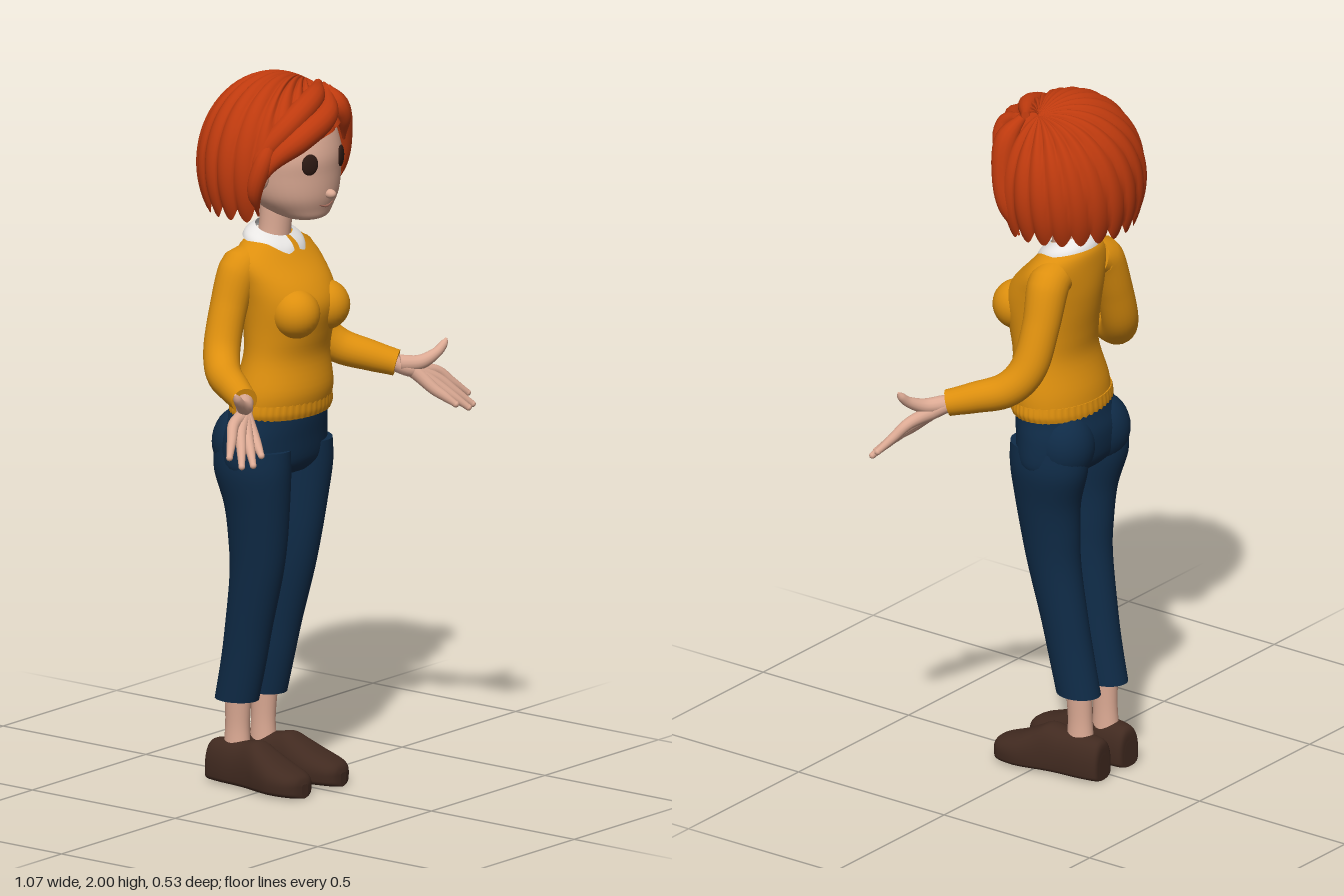
import * as THREE from 'three';

const mat = (name, color, side = THREE.FrontSide) => {
  const m = new THREE.MeshStandardMaterial({ color, side });
  m.name = name;
  return m;
};

// Surface from rings: fn(u, v) gives a point, u runs around and v along.
function surface(fn, nu, nv, { closed = true, caps = true } = {}) {
  const rows = [];
  const cols = closed ? nu : nu + 1;
  for (let j = 0; j <= nv; j++)
    rows.push(Array.from({ length: cols }, (_, i) => fn(i / nu, j / nv)));
  if (caps) {
    const centre = (row) => {
      const c = row.reduce((s, p) => s.add(p), new THREE.Vector3()).divideScalar(cols);
      return row.map(() => c);
    };
    const first = rows[0], last = rows[nv];
    rows.unshift(centre(first), first);
    rows.push(last, centre(last));
  }
  const index = [];
  for (let j = 0; j < rows.length - 1; j++)
    for (let i = 0; i < nu; i++) {
      const k = (i + 1) % cols;
      const a = j * cols + i, b = j * cols + k, c = a + cols, d = b + cols;
      index.push(a, c, b, b, c, d);
    }
  const g = new THREE.BufferGeometry();
  g.setAttribute('position', new THREE.Float32BufferAttribute(rows.flat().flatMap((p) => [p.x, p.y, p.z]), 3));
  g.setIndex(index);
  g.computeVertexNormals();
  return g;
}

// Smooth interpolation through a list of rows
function sample(rows, t) {
  const f = t * (rows.length - 1), i = Math.min(Math.floor(f), rows.length - 2), x = f - i;
  const at = (k) => rows[Math.max(0, Math.min(rows.length - 1, k))];
  const [p, q, r, s] = [at(i - 1), at(i), at(i + 1), at(i + 2)];
  return q.map((b, n) => 0.5 * (2 * b + (r[n] - p[n]) * x + (2 * p[n] - 5 * b + 4 * r[n] - s[n]) * x * x
    + (3 * b - p[n] - 3 * r[n] + s[n]) * x ** 3));
}

// Horizontal rings, bottom to top: [y, cx, cz, rx, rz]
const loft = (rows, nu = 40, ripple = 0) => surface((u, v) => {
  const [y, cx, cz, rx, rz] = sample(rows, v), a = u * Math.PI * 2;
  const k = 1 + ripple * Math.cos(a * 48);
  return new THREE.Vector3(cx + Math.cos(a) * rx * k, y, cz + Math.sin(a) * rz * k);
}, nu, (rows.length - 1) * 5);

// Round tapering tube: [x, y, z, radius]
function sweep(rows, nu = 14) {
  const curve = new THREE.CatmullRomCurve3(rows.map((r) => new THREE.Vector3(r[0], r[1], r[2])), false, 'catmullrom', 0.5);
  const nv = (rows.length - 1) * 6;
  const { normals, binormals } = curve.computeFrenetFrames(nv);
  return surface((u, v) => {
    const j = Math.round(v * nv), t = curve.getUtoTmapping(v), a = u * Math.PI * 2;
    const r = Math.max(0.001, sample(rows, t)[3]);
    return curve.getPoint(t).addScaledVector(normals[j], Math.cos(a) * r).addScaledVector(binormals[j], -Math.sin(a) * r);
  }, nu, nv);
}

export function createModel() {
  const group = new THREE.Group();
  const skin = mat('skin', 0xdcaa94), hair = mat('hair', 0xbe3a0e, THREE.DoubleSide);
  const wool = mat('sweater yellow', 0xdd8f0e), navy = mat('trouser navy', 0x0f2b47);
  const leather = mat('shoe brown', 0x412a20), white = mat('collar white', 0xe8e6e4, THREE.DoubleSide);
  const dark = mat('eye brown', 0x2e1a14), lip = mat('lip', 0xad7262);
  const add = (name, geometry, material) => {
    const m = new THREE.Mesh(geometry, material);
    m.name = name;
    group.add(m);
    return m;
  };
  const ball = (name, material, pos, size) => {
    const m = add(name, new THREE.SphereGeometry(1, 28, 18), material);
    m.position.set(...pos);
    m.scale.set(...size);
    return m;
  };

  // Head and face
  add('head', loft([
    [1.605, 0.015, 0.05, 0.025, 0.025], [1.615, 0.015, 0.045, 0.065, 0.06], [1.64, 0.015, 0.018, 0.1, 0.098],
    [1.68, 0.015, 0, 0.132, 0.127], [1.74, 0.015, -0.015, 0.15, 0.145], [1.8, 0.015, -0.02, 0.155, 0.149],
    [1.88, 0.015, -0.035, 0.135, 0.135], [1.94, 0.015, -0.04, 0.08, 0.09], [1.96, 0.015, -0.04, 0.02, 0.02]]), skin);
  add('neck', sweep([[-0.002, 1.49, -0.06, 0.05], [0.004, 1.56, -0.052, 0.045], [0.01, 1.66, -0.045, 0.047]], 24), skin);
  ball('nose', skin, [0.017, 1.685, 0.132], [0.014, 0.013, 0.018]);
  add('mouth', sweep([[-0.012, 1.656, 0.117, 0.002], [0.017, 1.649, 0.119, 0.004], [0.046, 1.656, 0.117, 0.002]], 8), lip);
  for (const s of [-1, 1]) {
    ball('eye', dark, [0.017 + s * 0.068, 1.777, 0.115], [0.025, 0.03, 0.008]).rotation.y = s * 0.44;
    ball('ear', skin, [0.015 + s * 0.158, 1.745, 0.015], [0.02, 0.036, 0.026]);
  }

  // Bobbed hair: ridged cap radiating from a side parting, open at the face
  add('hair', surface((u, v) => {
    const az = (u * 2 - 1) * Math.PI, deg = az * 180 / Math.PI;
    const strand = Math.abs(Math.sin(az * 11 + 1.5 * (1 - v))) ** 0.7;
    const drop = THREE.MathUtils.smoothstep(Math.abs(deg), 52, 68);
    const line = 1.85 + 0.03 * THREE.MathUtils.clamp(deg / 50, -1, 1);
    const edge = THREE.MathUtils.lerp(line, 1.65 - 0.03 * Math.abs(Math.sin(az * 11)), drop);
    const phi = v * Math.acos((edge - 1.75) / 0.25);
    const d = new THREE.Vector3(Math.sin(phi) * Math.sin(az), Math.cos(phi), Math.sin(phi) * Math.cos(az));
    d.x += 0.6 * (1 - v) ** 2;
    d.z += 0.12 * (1 - v) ** 2;
    d.normalize().multiplyScalar(1 + 0.05 * (strand - 0.8) * Math.min(1, v * 3));
    return new THREE.Vector3(0.01 + d.x * 0.22, 1.75 + d.y * 0.25, -0.06 + d.z * 0.205);
  }, 220, 30, { caps: false }), hair);
  const locks = {
    sweptFringe: [[0.13, 1.945, 0.03, 0.012], [0.04, 1.9, 0.1, 0.033], [-0.07, 1.855, 0.102, 0.036], [-0.14, 1.8, 0.065, 0.024], [-0.165, 1.74, 0.045, 0.003]],
    upperFringe: [[0.13, 1.955, 0, 0.012], [0.03, 1.94, 0.06, 0.032], [-0.08, 1.89, 0.068, 0.034], [-0.155, 1.81, 0.03, 0.025], [-0.185, 1.74, 0.01, 0.004]],
    rightLock: [[-0.13, 1.86, 0.05, 0.015], [-0.165, 1.79, 0.04, 0.026], [-0.175, 1.71, 0.02, 0.022], [-0.145, 1.635, 0.01, 0.003]],
    leftFringe: [[0.13, 1.945, 0.03, 0.014], [0.12, 1.915, 0.07, 0.028], [0.14, 1.87, 0.08, 0.022], [0.165, 1.8, 0.062, 0.004]],
    leftLock: [[0.13, 1.95, 0.01, 0.014], [0.168, 1.89, 0.035, 0.034], [0.196, 1.8, 0.03, 0.03], [0.203, 1.71, 0.01, 0.024], [0.185, 1.625, -0.02, 0.003]],
  };
  for (const [name, rows] of Object.entries(locks)) add(name, sweep(rows), hair);

  // Shirt collar, parted at the front with two hanging points
  add('collar', surface((u, v) => {
    const a = 0.12 + u * (Math.PI * 2 - 0.24), front = Math.max(0, Math.cos(a));
    const point = front ** 3 * Math.min(1, Math.abs(Math.sin(a)) * 2.2);
    const flare = 0.053 + v * 0.036 + Math.sin(v * Math.PI) * 0.008;
    return new THREE.Vector3(Math.sin(a) * flare * 1.06, 1.568 - 0.017 * Math.cos(a) - v * (0.032 + 0.02 * point),
      -0.052 + Math.cos(a) * (flare * 0.9 + 0.01 * point * v));
  }, 72, 8, { closed: false, caps: false }), white);

  // Sweater body, hem and bust
  add('sweaterBody', loft([
    [1.07, -0.012, -0.02, 0.163, 0.116], [1.13, -0.01, -0.01, 0.162, 0.119], [1.22, -0.005, -0.003, 0.143, 0.102],
    [1.29, -0.004, 0.002, 0.139, 0.112], [1.37, -0.003, 0.004, 0.142, 0.127], [1.43, -0.003, -0.012, 0.146, 0.117],
    [1.49, -0.003, -0.04, 0.148, 0.087], [1.53, -0.003, -0.055, 0.115, 0.066], [1.548, -0.003, -0.055, 0.07, 0.05]], 48), wool);
  add('sweaterHem', loft([[1.058, -0.012, -0.02, 0.163, 0.118], [1.075, -0.012, -0.018, 0.169, 0.121],
    [1.1, -0.012, -0.016, 0.166, 0.12]], 192, 0.008), wool);
  for (const s of [-1, 1]) ball('bust', wool, [-0.003 + s * 0.066, 1.355, 0.078], [0.067, 0.07, 0.07]);

  // Sleeves and open hands
  for (const s of [-1, 1]) {
    const side = s < 0 ? 'right' : 'left', lift = s < 0 ? 0.022 : -0.004;
    const place = (rows, k) => rows.map(([x, y, z, r], i) => [s * x - 0.004, y + lift * (k ?? i / (rows.length - 1)), z, r]);
    add(side + 'Sleeve', sweep(place([
      [0.09, 1.478, -0.065, 0.055], [0.125, 1.462, -0.07, 0.058], [0.165, 1.36, -0.076, 0.052], [0.207, 1.25, -0.066, 0.051],
      [0.25, 1.19, -0.025, 0.049], [0.297, 1.163, 0.052, 0.043], [0.335, 1.145, 0.115, 0.037]]), 24), wool);
    const fingers = {
      IndexFinger: [[0.445, 1.108, 0.165], [0.524, 1.038, 0.213]],
      MiddleFinger: [[0.433, 1.09, 0.18], [0.508, 1.014, 0.243]],
      RingFinger: [[0.417, 1.078, 0.19], [0.474, 1.013, 0.256]],
      LittleFinger: [[0.396, 1.073, 0.194], [0.428, 1.03, 0.248]],
    };
    for (const [name, [k, t]] of Object.entries(fingers)) {
      const mid = k.map((c, i) => (c + t[i]) / 2);
      add(side + name, sweep(place([[0.328, 1.146, 0.107, 0.022], [0.37, 1.122, 0.143, 0.021], [...k, 0.0165],
        [...mid, 0.0135], [...t, 0.009]], 1)), skin);
      const tip = place([[...t, 0]], 1)[0];
      ball(side + 'Fingertip', skin, tip.slice(0, 3), [0.0093, 0.0093, 0.0093]);
    }
    add(side + 'Thumb', sweep(place([[0.34, 1.143, 0.12, 0.024], [0.385, 1.142, 0.155, 0.021], [0.43, 1.163, 0.177, 0.015],
      [0.456, 1.187, 0.185, 0.011], [0.465, 1.2, 0.186, 0.003]], 1)), skin);
  }

  // Trousers: hips, seat and tapering legs
  add('trouserHips', loft([
    [0.895, -0.021, -0.035, 0.165, 0.085], [0.93, -0.021, -0.035, 0.182, 0.114], [1, -0.021, -0.034, 0.178, 0.122],
    [1.05, -0.018, -0.025, 0.165, 0.118], [1.085, -0.015, -0.02, 0.158, 0.112]], 48), navy);
  for (const s of [-1, 1]) {
    const side = s < 0 ? 'right' : 'left', x = (o) => -0.021 + s * o;
    ball(side + 'Seat', navy, [x(0.08), 0.975, -0.08], [0.086, 0.1, 0.085]);
    add(side + 'TrouserLeg', loft([
      [0.238, x(0.062), -0.115, 0.054, 0.065], [0.35, x(0.063), -0.09, 0.056, 0.067], [0.45, x(0.066), -0.07, 0.058, 0.07],
      [0.6, x(0.071), -0.04, 0.064, 0.079], [0.7, x(0.076), -0.03, 0.07, 0.088], [0.8, x(0.084), -0.027, 0.077, 0.098],
      [0.9, x(0.092), -0.036, 0.087, 0.117], [0.97, x(0.09), -0.036, 0.084, 0.118]]), navy);
    add(side + 'Ankle', loft([[0.08, x(0.058), -0.118, 0.034, 0.042], [0.16, x(0.057), -0.117, 0.03, 0.036],
      [0.26, x(0.058), -0.113, 0.034, 0.04]], 24), skin);

    // Slip-on shoe, rings from heel to toe: [z, centre x, half width, height]
    const shoe = [[-0.2, 0, 0.02, 0.08], [-0.193, 0, 0.042, 0.118], [-0.14, 0, 0.052, 0.128], [-0.08, 0, 0.054, 0.13],
      [-0.03, 0.002, 0.058, 0.138], [0.01, 0.005, 0.064, 0.12], [0.06, 0.008, 0.067, 0.096], [0.11, 0.008, 0.056, 0.078],
      [0.134, 0.006, 0.036, 0.064], [0.142, 0.005, 0.012, 0.045]];
    const foot = add(side + 'Shoe', surface((u, v) => {
      const [z, cx, w, h] = sample(shoe, v), a = u * Math.PI * 2, c = Math.cos(a), n = -Math.sin(a);
      const y = n > 0 ? 0.04 + (h - 0.04) * n ** 0.9 : 0.04 - 0.034 * Math.abs(n) ** 0.4;
      return new THREE.Vector3(s * cx + w * Math.sign(c) * Math.abs(c) ** 0.8, y - 0.006, z);
    }, 40, 50), leather);
    foot.position.x = x(0.071);
    foot.rotation.y = s * 0.06;
  }
  return group;
}
